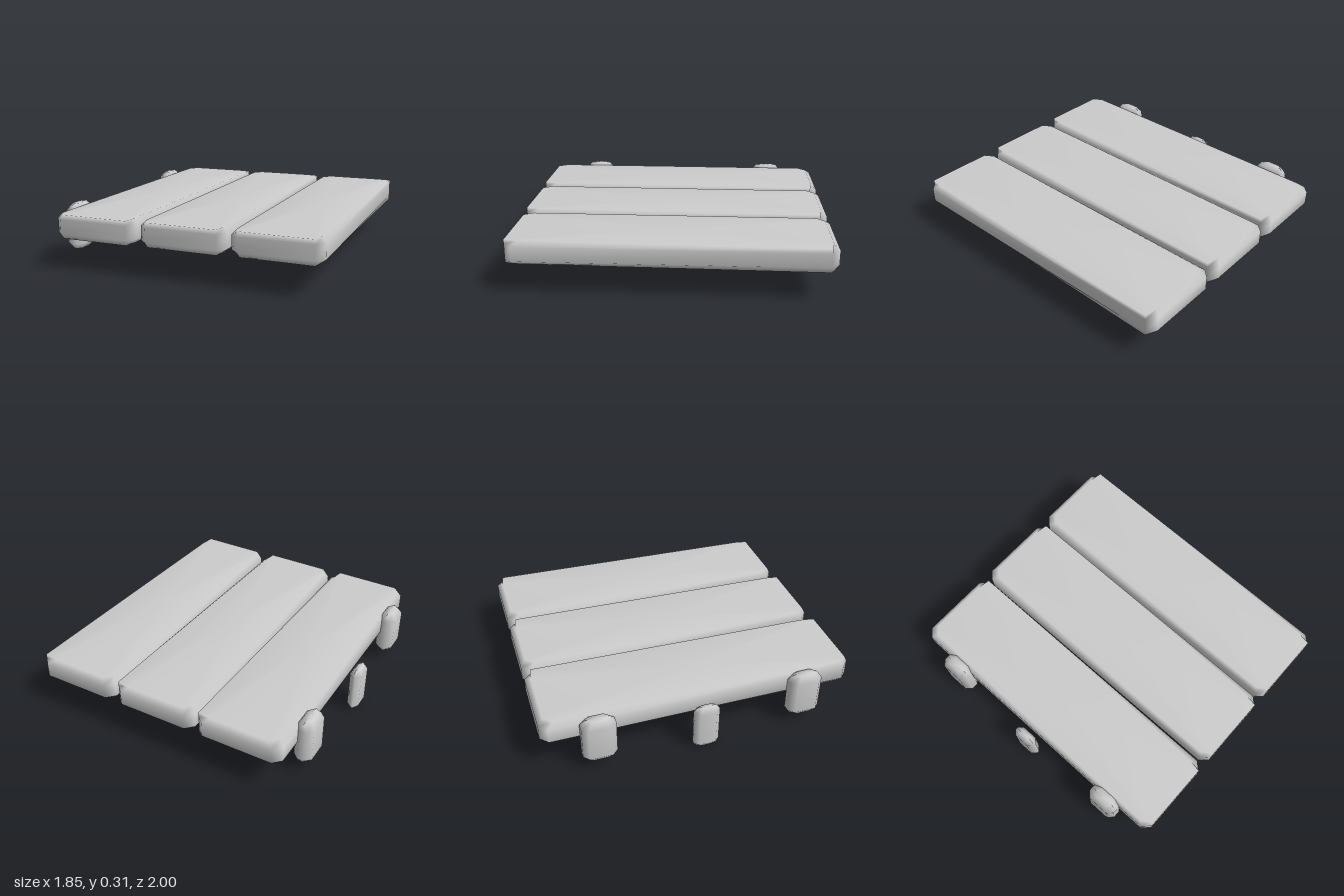
import * as THREE from 'three';

// Bevelled block: four stacked eight-sided rings. chamfer cuts the upright
// corners, bevel is the height of the sloped rim, insets give the rim depth
// at each ring corner (starting right-front, running round by the back).
function bevelledBlock(width, height, length, chamfer, bevel, insets) {
  const w = width / 2, l = length / 2, c = chamfer;
  const ring = [
    [w, l - c], [w, c - l], [w - c, -l], [c - w, -l],
    [-w, c - l], [-w, l - c], [c - w, l], [w - c, l],
  ];
  const levels = [[0, true], [bevel, false], [height - bevel, false], [height, true]];
  const positions = [], index = [];
  for (const [y, rim] of levels) {
    ring.forEach(([x, z], i) => {
      const e = rim ? insets[i] : 0;
      positions.push(x - Math.sign(x) * Math.min(e, Math.abs(x)), y, z - Math.sign(z) * e);
    });
  }
  positions.push(0, 0, 0, 0, height, 0); // cap centres
  for (let i = 0; i < 8; i++) {
    const j = (i + 1) % 8;
    for (let k = 0; k < 24; k += 8) {
      index.push(k + i, k + j, k + 8 + j, k + i, k + 8 + j, k + 8 + i);
    }
    index.push(32, j, i, 33, 24 + i, 24 + j);
  }
  const geometry = new THREE.BufferGeometry();
  geometry.setAttribute('position', new THREE.Float32BufferAttribute(positions, 3));
  geometry.setIndex(index);
  geometry.computeVertexNormals();
  return geometry;
}

export function createModel() {
  const model = new THREE.Group();
  model.name = 'plankPlatform';
  const grey = new THREE.MeshStandardMaterial({ color: 0xcccccc });
  grey.name = 'lightGrey';
  const turn = -Math.PI / 12;

  function add(name, geometry, x, y, z) {
    const mesh = new THREE.Mesh(geometry, grey);
    mesh.name = name;
    mesh.position.set(x, y, z);
    mesh.rotation.y = turn;
    model.add(mesh);
  }

  // Three equal planks side by side, worn unevenly at the corners
  const plank = bevelledBlock(0.472, 0.128, 1.7, 0.042, 0.025,
    [0.03, 0, 0.03, 0.03, 0.03, 0.02, 0.01, 0]);
  const pitch = 0.495;
  ['plankRight', 'plankMiddle', 'plankLeft'].forEach((name, i) => {
    const d = (i - 1) * pitch;
    add(name, plank, 0.01 + d * Math.cos(turn), 0.168, 0.005 - d * Math.sin(turn));
  });

  // Pegs along the outer edge
  const widePeg = bevelledBlock(0.1, 0.255, 0.18, 0.03, 0.035, Array(8).fill(0.025));
  const slimPeg = bevelledBlock(0.065, 0.255, 0.14, 0.025, 0.027, Array(8).fill(0.018));
  add('pegBack', widePeg, -0.572, 0.05, -0.735);
  add('pegMiddle', slimPeg, -0.748, 0, -0.2);
  add('pegFront', widePeg, -0.863, 0.05, 0.355);

  return model;
}
